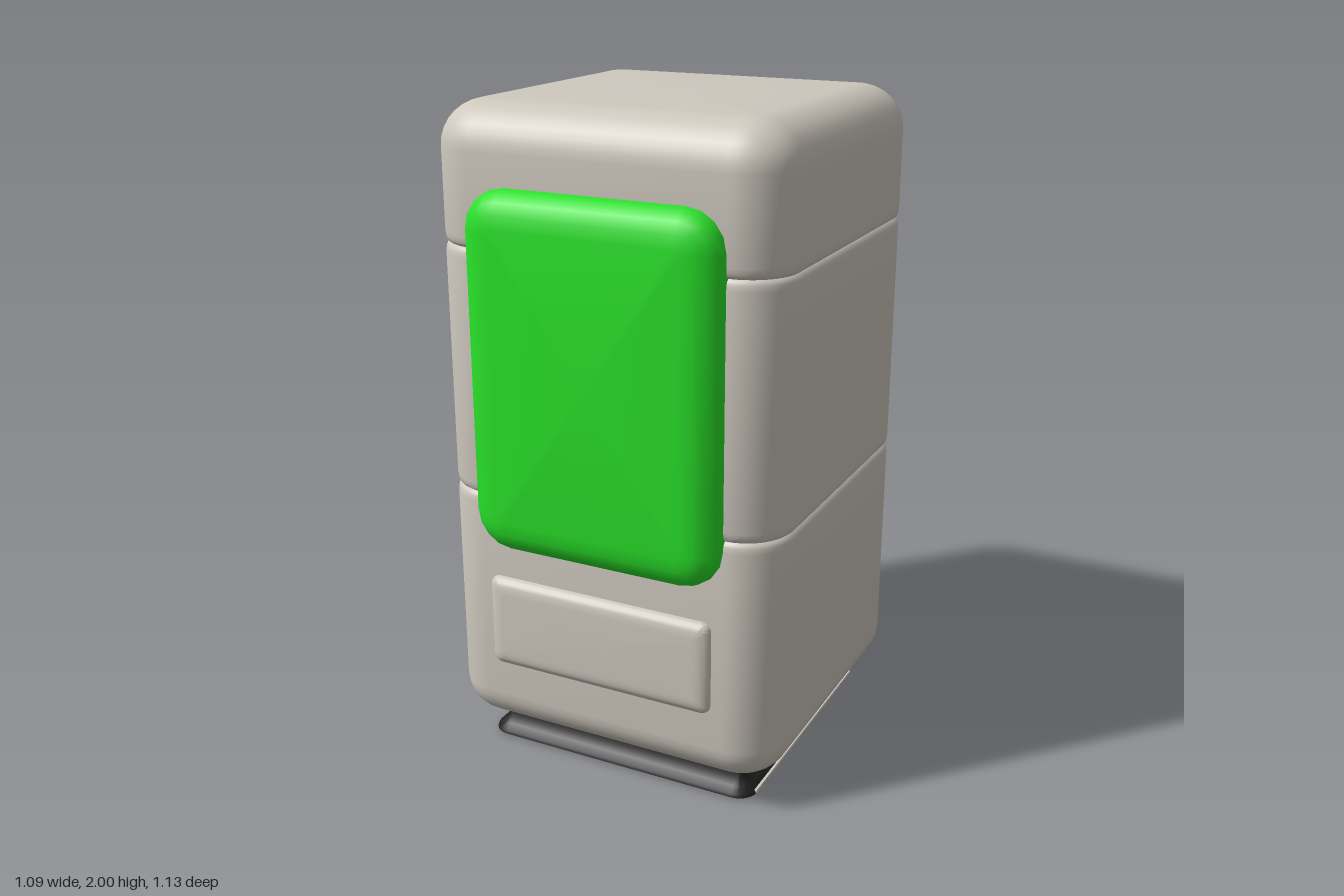
import * as THREE from 'three';
import { toCreasedNormals } from 'three/addons/utils/BufferGeometryUtils.js';

// Stacks rounded-rectangle rings along y; each row is [height, inset]
function roundedStack(halfX, halfZ, radius, rows, segs = 8) {
  const pos = [], index = [], n = 4 * (segs + 1);
  for (const [y, inset] of rows) {
    const r = Math.max(radius - inset, 0.012);
    for (let c = 0; c < 4; c++) {
      const sx = c === 0 || c === 3 ? 1 : -1, sz = c < 2 ? 1 : -1;
      for (let i = 0; i <= segs; i++) {
        const a = (c + i / segs) * Math.PI / 2;
        pos.push(sx * (halfX - inset - r) + r * Math.cos(a), y,
          sz * (halfZ - inset - r) + r * Math.sin(a));
      }
    }
  }
  const last = rows.length - 1, bottom = rows.length * n, top = bottom + 1;
  pos.push(0, rows[0][0], 0, 0, rows[last][0], 0);
  for (let i = 0; i < n; i++) {
    const j = (i + 1) % n;
    for (let k = 0; k < last; k++) {
      const a = k * n + i, b = k * n + j;
      index.push(a, a + n, b, b, a + n, b + n);
    }
    index.push(bottom, i, j, top, last * n + j, last * n + i);
  }
  const g = new THREE.BufferGeometry();
  g.setAttribute('position', new THREE.Float32BufferAttribute(pos, 3));
  g.setIndex(index);
  return toCreasedNormals(g, 0.7);
}

// Quarter-round rows running from the outer wall to the top face
function roundOver(yEnd, width, depth, steps) {
  return Array.from({ length: steps + 1 }, (_, i) => {
    const a = i / steps * Math.PI / 2;
    return [yEnd - depth * (1 - Math.sin(a)), width * (1 - Math.cos(a))];
  });
}

export function createModel() {
  const model = new THREE.Group();
  const add = (name, geometry, color, x, y, z) => {
    const mesh = new THREE.Mesh(geometry, new THREE.MeshStandardMaterial({ color }));
    mesh.name = name;
    mesh.position.set(x, y, z);
    model.add(mesh);
    return mesh;
  };
  const shell = 0xcec8be, dark = 0x222222;

  // Cabinet with rounded ends and two shallow seams
  const bottomRows = roundOver(-0.09, 0.13, 0.12, 8).map(([y, i]) => [-y, i]).reverse();
  const seamRows = [0.865, 1.6].flatMap((y) => [
    [y - 0.03, 0], [y - 0.014, 0.002], [y - 0.005, 0.006], [y, 0.013],
    [y + 0.005, 0.006], [y + 0.014, 0.002], [y + 0.03, 0],
  ]);
  const cabinet = [...bottomRows, ...seamRows, ...roundOver(2, 0.14, 0.13, 8)];
  add('cabinet', roundedStack(0.543, 0.527, 0.15, cabinet, 10), shell, 0, 0, -0.037);

  // Large raised display panel on the front
  const display = [[-0.04, 0.0], ...roundOver(0.075, 0.1, 0.065, 4)];
  add('displayPanel', roundedStack(0.39, 0.53, 0.115, display, 4).rotateX(Math.PI / 2),
    0x29e229, 0.003, 1.25, 0.49);

  // Pillowed hatch below the display
  const hatch = [[-0.03, 0], ...roundOver(0.026, 0.05, 0.026, 6)];
  add('hatch', roundedStack(0.363, 0.145, 0.03, hatch, 6).rotateX(Math.PI / 2),
    shell, -0.003, 0.467, 0.49);

  // Flared foot
  const foot = [[0, 0.015], [0.008, 0], [0.018, 0.003], [0.035, 0.022],
    [0.055, 0.038], [0.075, 0.042], [0.13, 0.04]];
  add('foot', roundedStack(0.452, 0.446, 0.06, foot, 6), dark, 0, 0, -0.035);

  // Pale trim along one side of the foot
  add('footTrim', new THREE.BoxGeometry(0.012, 0.009, 0.8), shell, 0.448, 0.016, -0.04);

  return model;
}
